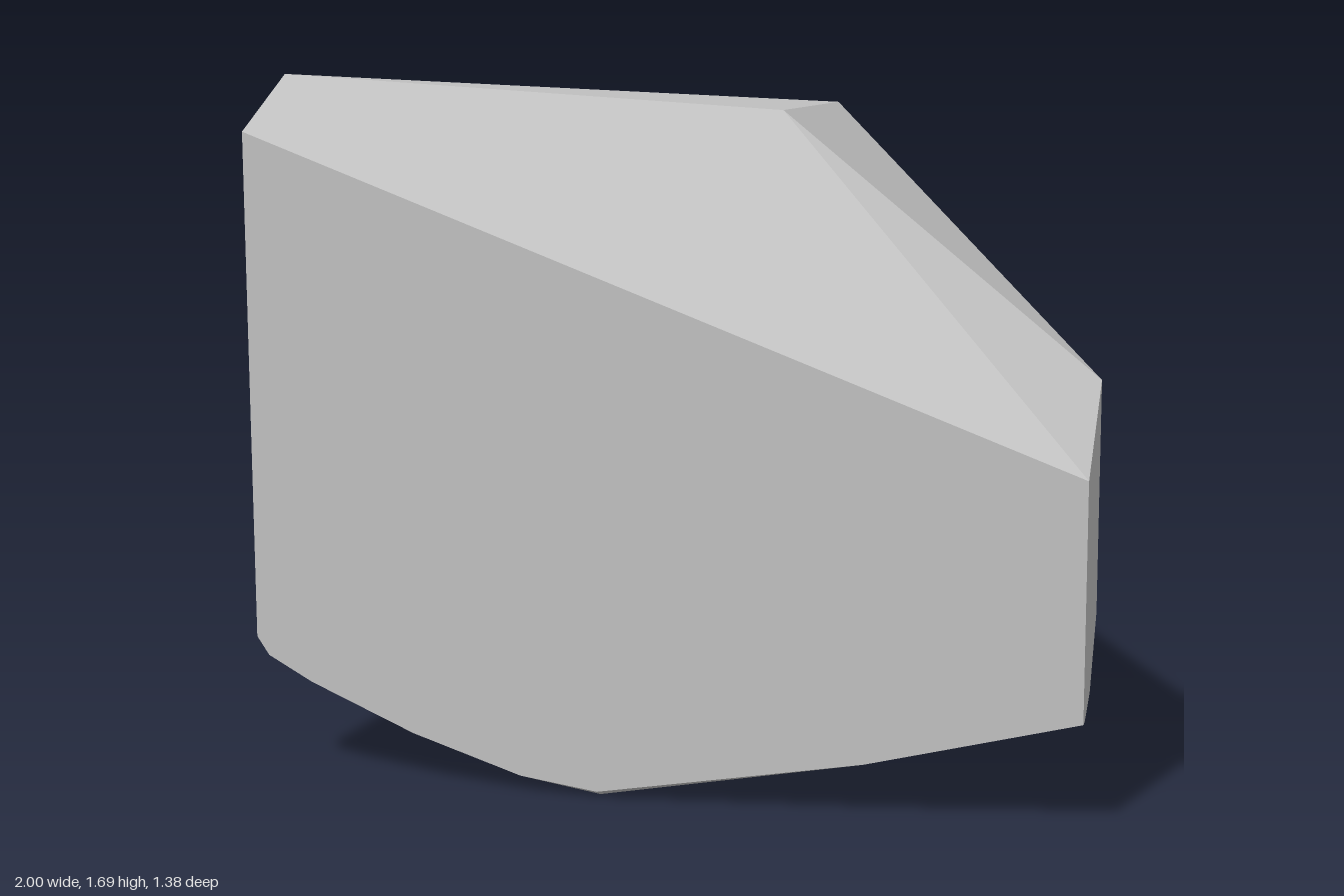
import * as THREE from 'three';
import { ConvexGeometry } from 'three/addons/geometries/ConvexGeometry.js';

const hullOf = (rows) => new ConvexGeometry(rows.map((p) => new THREE.Vector3(...p)));

export function createModel() {
  const stone = new THREE.MeshStandardMaterial({ color: 0xc0c0c0 });
  stone.name = 'grey stone';

  // flat front cut, as an outline in x and y
  const front = [
    [-1, 1.56], [1, 0.815], [1, 0.26], [0.5, 0.13], [-0.14, 0.015],
    [-0.33, 0.04], [-0.6, 0.125], [-0.86, 0.235], [-0.97, 0.295], [-1, 0.34],
  ].map(([x, y]) => [x, y, 0.69]);

  // flat cut at x = -1, as an outline in y and z
  const right = [
    [1.69, 0.44], [1.605, -0.61], [1.48, -0.633], [1.27, -0.635],
    [1.06, -0.605], [0.93, -0.52], [0.66, -0.13], [0.33, 0.65],
  ].map(([y, z]) => [-1, y, z]);

  // narrow cut at x = 1
  const left = [
    [1.005, 0.44], [0.46, 0.44], [0.3, 0.56], [0.26, 0.66],
  ].map(([y, z]) => [1, y, z]);

  // top corners
  const top = [[0.2, 1.605, 0.22], [0.2, 1.605, -0.445], [-0.68, 1.61, -0.595]];

  // worn back bulge
  const back = [
    [0.2, 0.75, -0.66], [0.15, 0.67, -0.667], [0.21, 0.645, -0.64],
    [-0.1, 0.68, -0.673], [-0.27, 0.8, -0.693], [-0.28, 0.92, -0.695],
    [-0.22, 0.985, -0.694], [-0.1, 0.93, -0.695], [-0.03, 0.95, -0.69],
  ];

  // underside
  const under = [
    [0.22, 0.475, -0.51], [0.22, 0.28, -0.23], [-0.22, 0.29, -0.3],
    [-0.43, 0.315, -0.33], [-0.14, 0, 0.66], [-0.33, 0.03, 0.66],
  ];

  const rock = new THREE.Mesh(hullOf([...front, ...right, ...left, ...top, ...back, ...under]), stone);
  rock.name = 'rock';

  const group = new THREE.Group();
  group.name = 'boulder';
  group.add(rock);
  return group;
}
